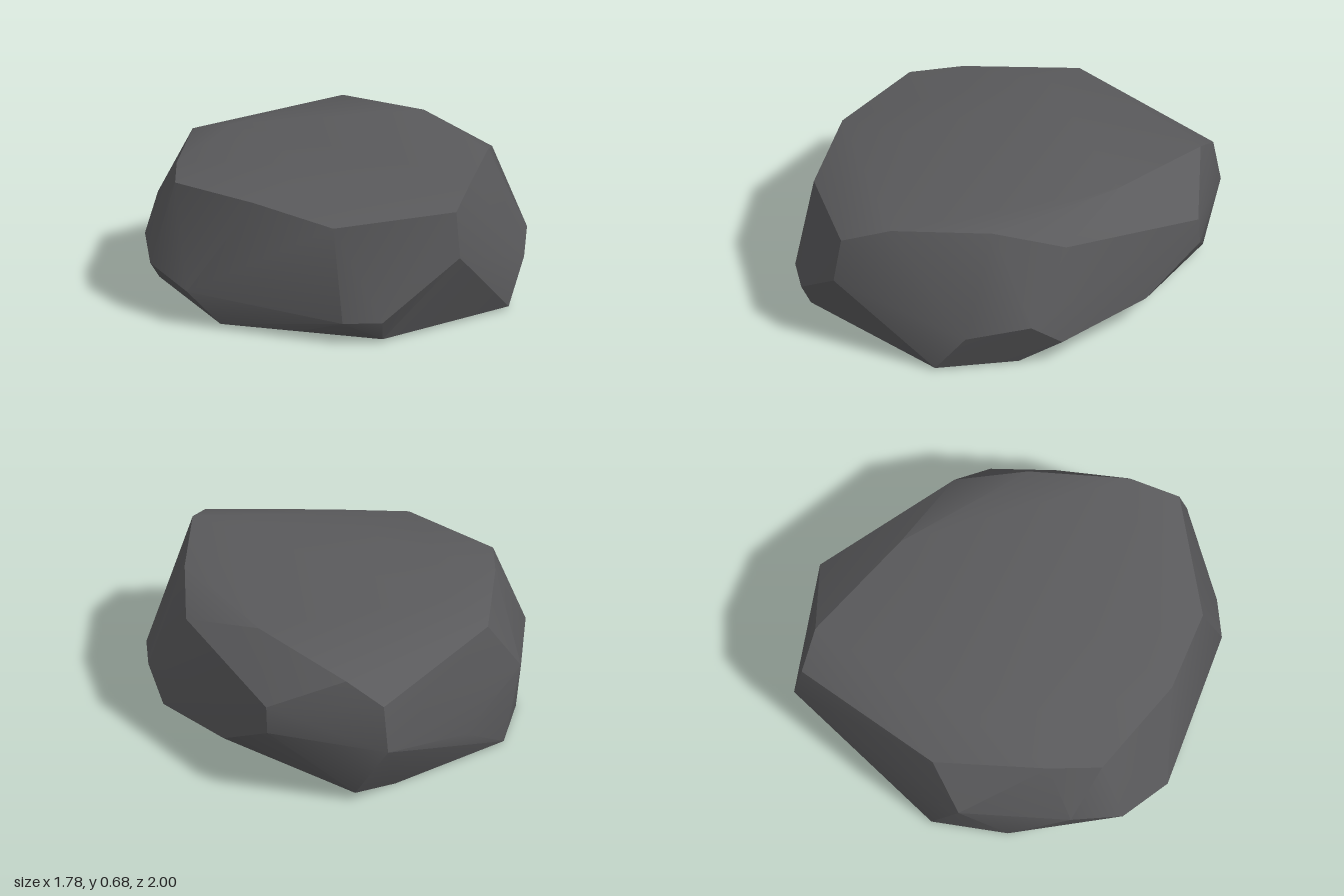
import * as THREE from 'three';
import { ConvexGeometry } from 'three/addons/geometries/ConvexGeometry.js';
import { toCreasedNormals } from 'three/addons/utils/BufferGeometryUtils.js';

export function createModel() {
  const stone = new THREE.MeshStandardMaterial({ color: 0x5a5a5c });
  stone.name = 'dark grey stone';

  // Corners of the boulder, in rings from the ground up
  const base = [
    [0.62, 0.01, 0.69], [0.77, 0.01, 0.33], [0.45, 0.04, -0.85], [0.21, 0, -0.8],
    [-0.41, 0.01, -0.71], [-0.63, 0, -0.43], [-0.71, 0.02, 0.41],
    [-0.44, 0.035, 0.71], [-0.12, 0.01, 0.91],
  ];
  const girth = [
    [0.23, 0.38, 1], [0.74, 0.21, 0.6], [0.88, 0.26, 0.33], [0.89, 0.13, 0.17],
    [0.84, 0.17, -0.31], [0.79, 0.34, -0.63], [0.79, 0.47, -0.62], [0.36, 0.3, -1],
    [-0.15, 0.17, -0.82], [-0.54, 0.34, -0.64], [-0.81, 0.3, -0.2], [-0.89, 0.23, 0.03],
    [-0.83, 0.16, 0.3], [-0.31, 0.1, 0.88], [-0.14, 0.1, 0.95],
  ];
  const shoulder = [
    [0.23, 0.59, 0.96], [0.81, 0.59, 0.1], [0.48, 0.62, -0.82], [0.36, 0.52, -0.96],
    [-0.35, 0.61, -0.67], [-0.64, 0.61, -0.22], [-0.75, 0.59, 0], [-0.57, 0.6, 0.47],
    [-0.31, 0.53, 0.78],
  ];
  const crown = [
    [0.39, 0.68, 0.79], [0.65, 0.68, 0.4], [0.64, 0.68, -0.28],
    [-0.24, 0.68, -0.45], [-0.45, 0.65, 0], [-0.2, 0.68, 0.3],
  ];

  // Facets wrapped round the corners, soft on shallow folds and sharp on steep ones
  const points = [...base, ...girth, ...shoulder, ...crown].map((p) => new THREE.Vector3(...p));
  const geometry = toCreasedNormals(new ConvexGeometry(points), THREE.MathUtils.degToRad(32));

  const boulder = new THREE.Mesh(geometry, stone);
  boulder.name = 'boulder';

  const group = new THREE.Group();
  group.name = 'rock';
  group.add(boulder);
  return group;
}
